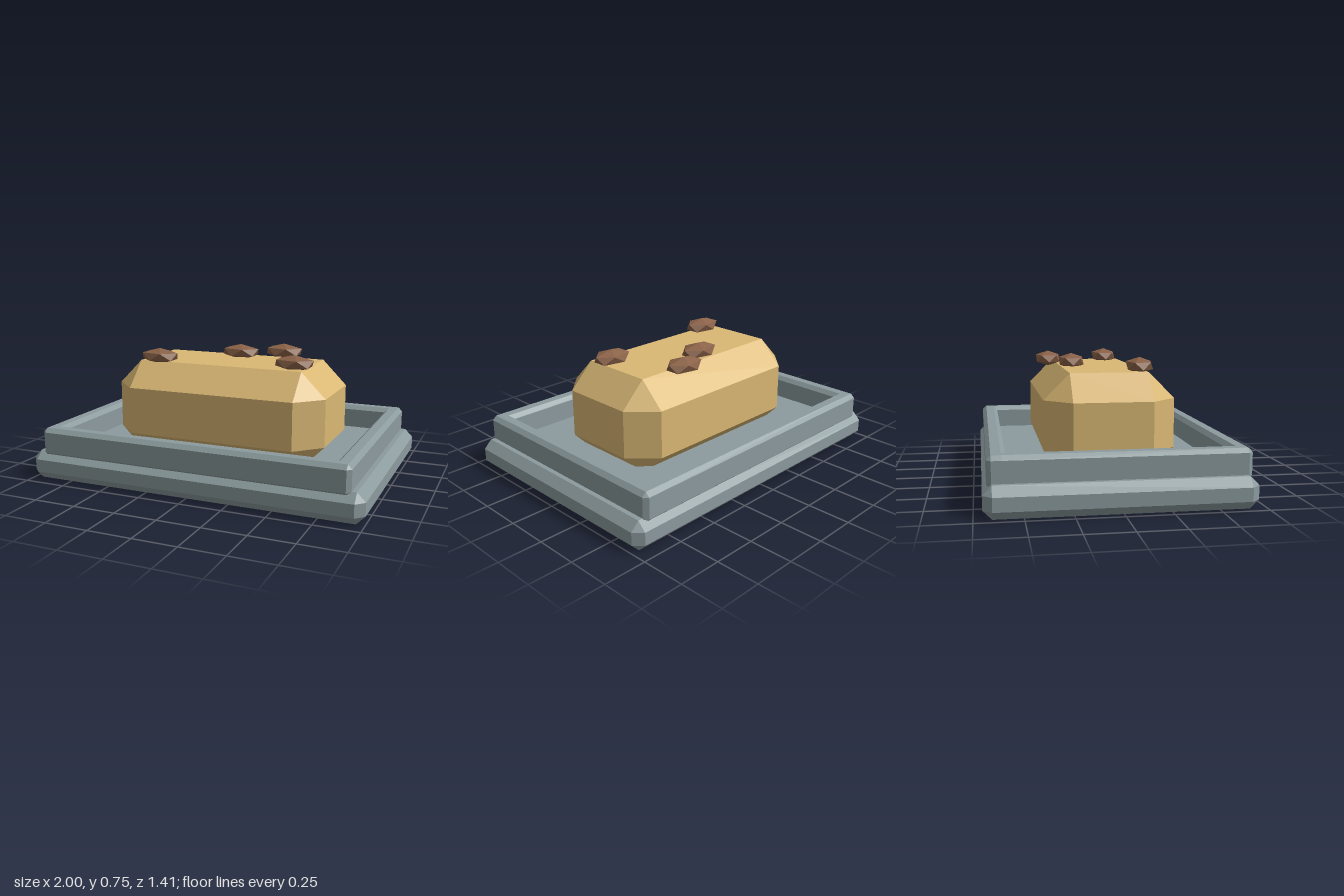
import * as THREE from 'three';
import { ConvexGeometry } from 'three/addons/geometries/ConvexGeometry.js';

const material = (color) => new THREE.MeshStandardMaterial({ color, flatShading: true });

// Box with every edge and corner cut by c, standing from y0 to y1
function chamferedBox(name, mat, w, d, y0, y1, c, x = 0, z = 0) {
  const hx = w / 2, hy = (y1 - y0) / 2, hz = d / 2;
  const points = [];
  for (const sx of [-1, 1]) for (const sy of [-1, 1]) for (const sz of [-1, 1]) {
    points.push(
      new THREE.Vector3(sx * hx, sy * (hy - c), sz * (hz - c)),
      new THREE.Vector3(sx * (hx - c), sy * hy, sz * (hz - c)),
      new THREE.Vector3(sx * (hx - c), sy * (hy - c), sz * hz)
    );
  }
  const mesh = new THREE.Mesh(new ConvexGeometry(points), mat);
  mesh.name = name;
  mesh.position.set(x, (y0 + y1) / 2, z);
  return mesh;
}

// Icosahedron standing on its pole, flattened into a nut
function nutGeometry(rx, ry, rz) {
  const points = [new THREE.Vector3(0, ry, 0), new THREE.Vector3(0, -ry, 0)];
  for (let i = 0; i < 5; i++) {
    const a = (i / 5) * Math.PI * 2;
    const x = Math.cos(a) * 0.894 * rx, z = Math.sin(a) * 0.894 * rz;
    points.push(new THREE.Vector3(x, 0.447 * ry, z), new THREE.Vector3(-x, -0.447 * ry, z));
  }
  return new ConvexGeometry(points);
}

export function createModel() {
  const model = new THREE.Group();
  model.name = 'loafOnTray';
  const trayMat = material(0x8c9b9e);
  const loafMat = material(0xdab874);
  const nutMat = material(0x8b6248);

  // Tray: base slab and four rim bars
  const tray = new THREE.Group();
  tray.name = 'tray';
  tray.add(chamferedBox('trayBase', trayMat, 2, 1.41, 0, 0.17, 0.048));
  for (const s of [-1, 1]) {
    tray.add(chamferedBox(s > 0 ? 'rimFront' : 'rimBack', trayMat, 1.85, 0.1, 0.14, 0.31, 0.024, 0, s * 0.633));
    tray.add(chamferedBox(s > 0 ? 'rimLeft' : 'rimRight', trayMat, 0.1, 1.366, 0.14, 0.31, 0.024, s * 0.875, 0));
  }
  model.add(tray);

  // Loaf with wide chamfers, its underside sunk into the tray
  model.add(chamferedBox('loaf', loafMat, 1.31, 0.73, 0.1, 0.67, 0.146));

  // Nuts scattered on top
  const nutGeo = nutGeometry(0.13, 0.047, 0.085);
  const spots = [[-0.395, 0.19], [-0.005, -0.15], [0.24, -0.27], [0.435, 0.12]];
  const nuts = new THREE.Group();
  nuts.name = 'nuts';
  spots.forEach(([x, z], i) => {
    const nut = new THREE.Mesh(nutGeo, nutMat);
    nut.name = `nut${i + 1}`;
    nut.position.set(x, 0.699, z);
    nuts.add(nut);
  });
  model.add(nuts);

  return model;
}
